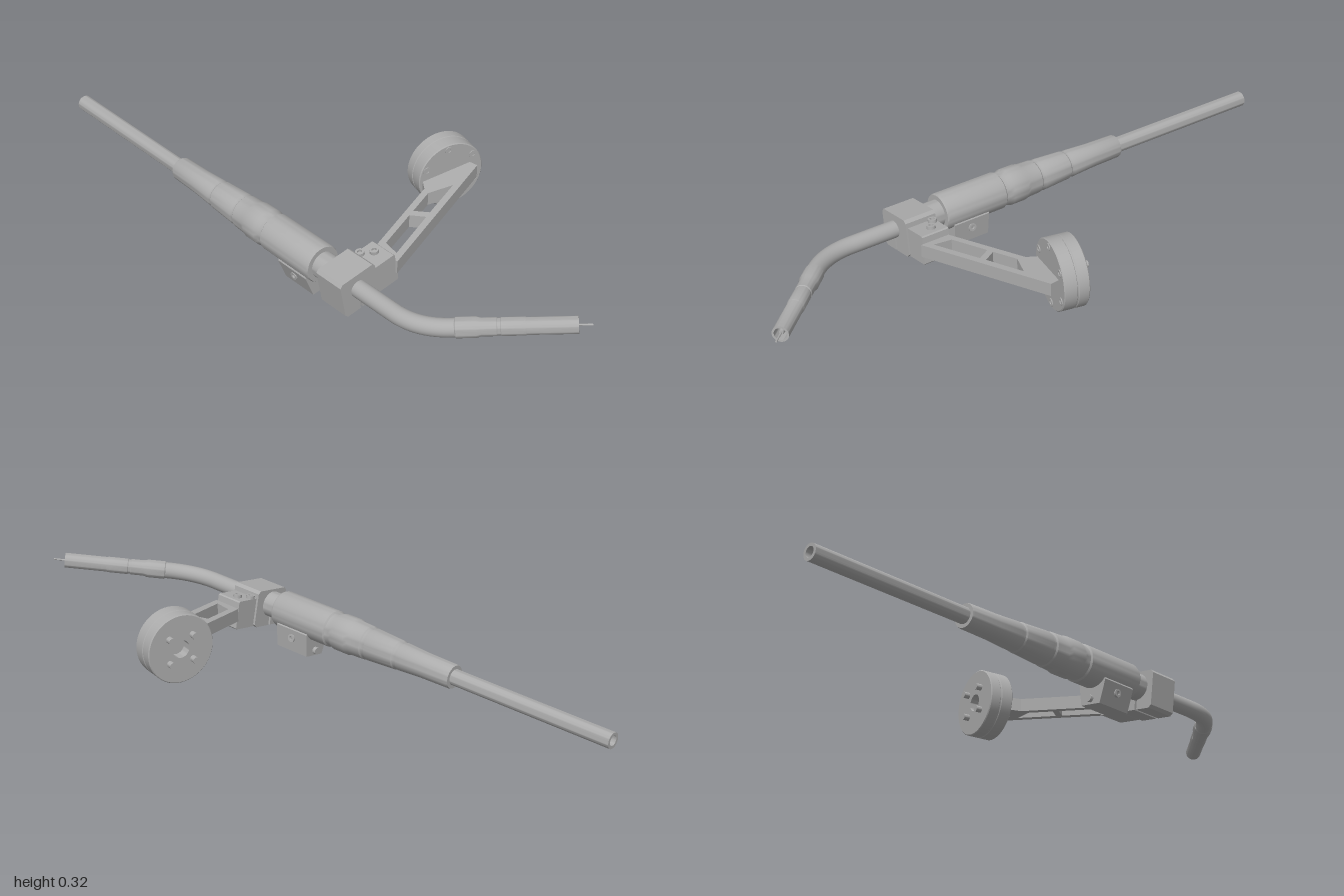
import * as THREE from 'three';
import { toCreasedNormals } from 'three/addons/utils/BufferGeometryUtils.js';

const V = (x, y, z) => new THREE.Vector3(x, y, z);

export function createModel() {
  const model = new THREE.Group();
  model.name = 'weldingTorchOnMount';
  const grey = new THREE.MeshStandardMaterial({ color: 0xacacac });
  grey.name = 'machined grey';

  const add = (parent, name, geo) => {
    const mesh = new THREE.Mesh(geo, grey);
    mesh.name = name;
    parent.add(mesh);
    return mesh;
  };
  // turned part along +z from [radius, distance] pairs
  const turned = (pts, sides = 40) => {
    const g = new THREE.LatheGeometry(pts.map(p => new THREE.Vector2(p[0], p[1])), sides);
    return toCreasedNormals(g.rotateX(Math.PI / 2), 0.5);
  };
  const polygon = (pts, C = THREE.Shape) => new C(pts.map(p => new THREE.Vector2(p[0], p[1])));
  const extrude = (shape, depth) => new THREE.ExtrudeGeometry(shape, { depth, bevelEnabled: false });
  const chamfered = (x0, x1, y0, y1, c) => [
    [x0 + c, y0], [x1 - c, y0], [x1, y0 + c], [x1, y1 - c],
    [x1 - c, y1], [x0 + c, y1], [x0, y1 - c], [x0, y0 + c]];

  // torch frame: z runs along the torch, slightly rolled
  const origin = V(-0.111, 0.136, 0.43);
  const d = V(0.267, 0.0375, 1).normalize();
  const side = V(0.95, 0.16, -0.26);
  side.addScaledVector(d, -side.dot(d)).normalize();
  const up = V(0, 0, 0).crossVectors(d, side);
  const torch = new THREE.Group();
  torch.name = 'torch';
  torch.applyMatrix4(new THREE.Matrix4().makeBasis(side, up, d).setPosition(origin));
  model.add(torch);

  add(torch, 'cable', turned([
    [0, -1.40], [0.017, -1.40], [0.017, -1.476], [0.027, -1.476], [0.027, -0.85]]));
  add(torch, 'handle', turned([
    [0.02, -0.878], [0.039, -0.878], [0.041, -0.872], [0.043, -0.76], [0.048, -0.67], [0.0465, -0.665],
    [0.0465, -0.655], [0.05, -0.65], [0.056, -0.54], [0.054, -0.535], [0.054, -0.525], [0.058, -0.52],
    [0.06, -0.47], [0.064, -0.455], [0.064, -0.40], [0.059, -0.385], [0.059, -0.37], [0.064, -0.365],
    [0.064, -0.135], [0.061, -0.128], [0.045, -0.128], [0.045, -0.06]]));

  // clamp block with a slit below the neck
  const block = chamfered(-0.066, 0.075, -0.078, 0.053, 0.01);
  block.splice(1, 0, [-0.004, -0.078], [-0.004, -0.038], [0.004, -0.038], [0.004, -0.078]);
  add(torch, 'clampBlock', extrude(polygon(block), 0.114)).position.z = -0.073;
  add(torch, 'clampSide', extrude(polygon(chamfered(0.07, 0.16, -0.075, 0.026, 0.004)), 0.1)).position.z = -0.065;
  for (const [x, z] of [[0.091, -0.05], [0.126, -0.022]]) {
    add(torch, 'clampScrew', turned([
      [0.015, 0], [0.015, 0.012], [0.008, 0.012], [0.008, 0.004], [0, 0.004]], 20).rotateX(-Math.PI / 2))
      .position.set(x, 0.025, z);
  }

  // bracket hanging under the handle
  add(torch, 'bracket', extrude(polygon([
    [-0.04, -0.119], [0.038, -0.119], [0.055, -0.04], [0.045, -0.02], [-0.045, -0.02], [-0.057, -0.04]]), 0.137))
    .position.z = -0.293;
  add(torch, 'bracketStud', turned([[0, -0.305], [0.012, -0.305], [0.012, -0.28]], 16)).position.y = -0.1;
  const sideScrew = add(torch, 'bracketScrew', turned([[0.014, 0], [0.014, 0.01], [0.007, 0.01], [0.007, 0.002], [0, 0.002]], 18));
  sideScrew.rotation.y = -Math.PI / 2;
  sideScrew.position.set(-0.046, -0.07, -0.225);
  const farScrew = sideScrew.clone();
  farScrew.rotation.y = Math.PI / 2;
  farScrew.position.x = 0.044;
  torch.add(farScrew);

  // bent neck
  const corner = V(-0.033, 0.147, 0.724);
  const tip = V(0.37, 0.202, 0.968);
  const nd = tip.clone().sub(corner).normalize();
  const a = corner.clone().addScaledVector(d, -0.1), b = corner.clone().addScaledVector(nd, 0.1);
  const path = new THREE.CurvePath();
  path.add(new THREE.LineCurve3(origin, a));
  path.add(new THREE.QuadraticBezierCurve3(a, corner, b));
  path.add(new THREE.LineCurve3(b, corner.clone().addScaledVector(nd, 0.15)));
  add(model, 'neck', new THREE.TubeGeometry(path, 60, 0.029, 28));

  // nozzle, contact tip and wire
  const nozzle = new THREE.Group();
  nozzle.name = 'nozzleAssembly';
  nozzle.position.copy(corner);
  nozzle.quaternion.setFromUnitVectors(V(0, 0, 1), nd);
  model.add(nozzle);
  add(nozzle, 'nozzle', turned([
    [0.028, 0.11], [0.032, 0.115], [0.032, 0.175], [0.028, 0.19], [0.028, 0.235], [0.026, 0.238],
    [0.026, 0.246], [0.028, 0.249], [0.028, 0.32], [0.0265, 0.323], [0.0265, 0.474],
    [0.02, 0.474], [0.02, 0.40], [0, 0.40]]));
  add(nozzle, 'contactTip', turned([[0.011, 0.39], [0.011, 0.44], [0.007, 0.465], [0, 0.465]], 20));
  add(nozzle, 'wire', turned([[0.003, 0.46], [0.003, 0.515], [0, 0.515]], 10));

  // arm: flat frame with two windows, tilted with the torch (corners as x, -z)
  const armShape = polygon([
    [0.016, -0.333], [0.053, -0.429], [0.483, -0.16], [0.47, -0.125], [0.3, -0.125], [0.286, -0.164]]);
  armShape.holes.push(
    polygon([[0.063, -0.33], [0.185, -0.254], [0.225, -0.293], [0.069, -0.392]], THREE.Path),
    polygon([[0.205, -0.242], [0.285, -0.192], [0.37, -0.203], [0.245, -0.28]], THREE.Path));
  const arm = extrude(armShape, 0.046).rotateX(-Math.PI / 2);
  arm.applyMatrix4(new THREE.Matrix4().set(1, 0, 0, 0, 0.167, 1, 0, 0.109, 0, 0, 1, 0, 0, 0, 0, 1));
  add(model, 'arm', arm);

  // round mounting flange
  const flange = new THREE.Group();
  flange.name = 'flange';
  flange.position.set(0.402, 0.205, 0);
  model.add(flange);
  add(flange, 'flangeDisc', turned([
    [0, 0.08], [0.03, 0.08], [0.03, 0.045], [0.114, 0.045], [0.117, 0.048], [0.117, 0.08], [0.115, 0.082],
    [0.115, 0.086], [0.117, 0.088], [0.117, 0.127], [0.114, 0.13], [0, 0.13]], 64));
  for (let i = 0; i < 6; i++) {
    const t = (37 + i * 60) * Math.PI / 180;
    add(flange, 'flangeBolt', turned([
      [0.013, 0.125], [0.013, 0.133], [0.007, 0.133], [0.007, 0.1305], [0, 0.1305]], 18))
      .position.set(0.098 * Math.cos(t), 0.098 * Math.sin(t), 0);
  }
  for (const sx of [-1, 1]) for (const sy of [-1, 1]) {
    add(flange, 'flangePin', turned([[0, 0.024], [0.011, 0.024], [0.011, 0.05]], 18))
      .position.set(sx * 0.042, sy * 0.042, 0);
  }
  return model;
}
